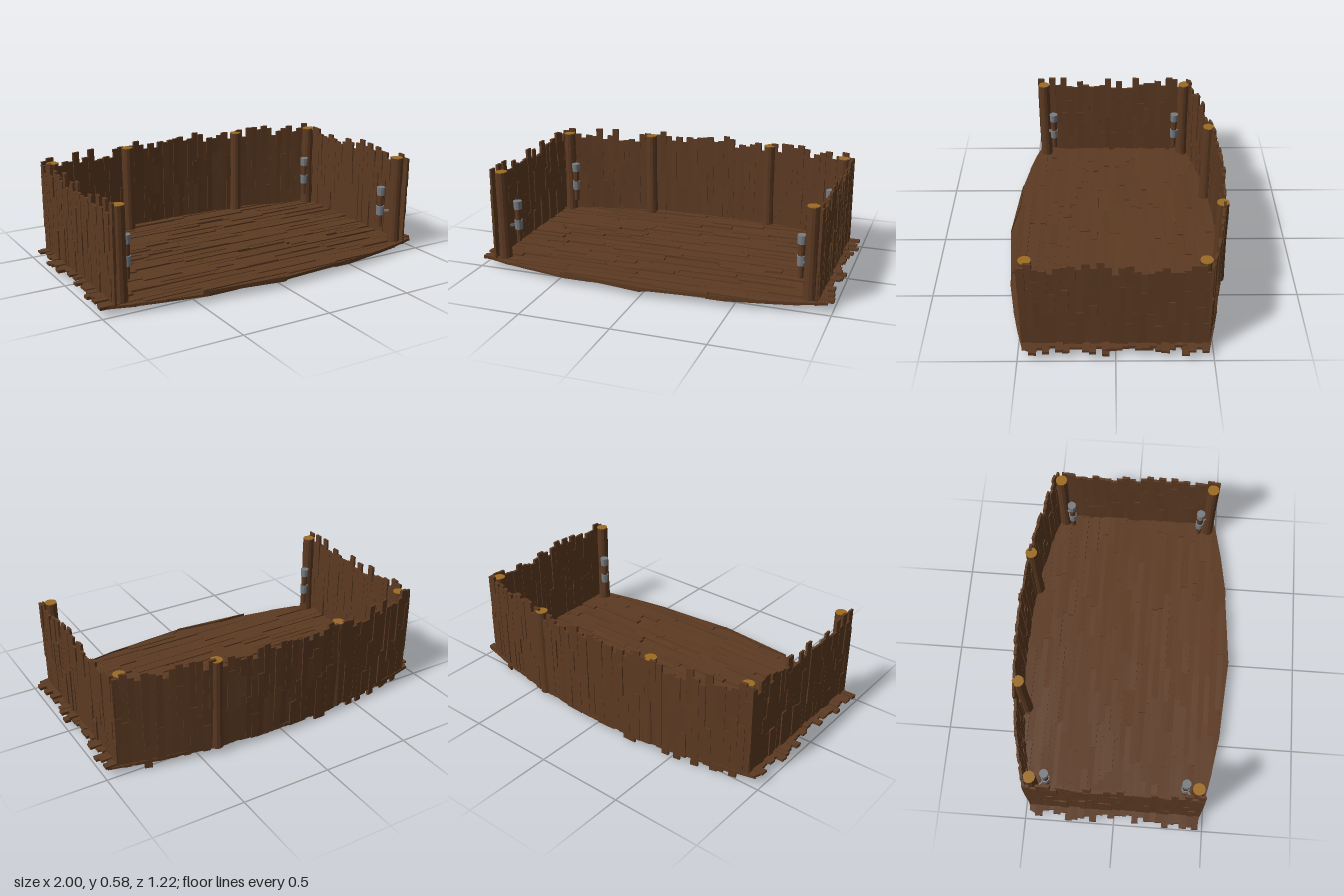
import * as THREE from 'three';
import { mergeGeometries } from 'three/addons/utils/BufferGeometryUtils.js';

const HALF_X = 0.925, SIDE_Z = 0.475, BOW = 0.13;

// Seeded random numbers
let seed = 7;
const rnd = (a = 0, b = 1) => {
  seed = (seed * 16807) % 2147483647;
  return a + (b - a) * (seed / 2147483647);
};

const material = (color) => new THREE.MeshStandardMaterial({ color, flatShading: true });
const wood = material(0x5c3a22);
const endGrain = material(0x9c6c20);
const iron = material(0x787e83);

function addMesh(parent, name, geometry, mat, x = 0, y = 0, z = 0) {
  const mesh = new THREE.Mesh(geometry, mat);
  mesh.name = name;
  mesh.position.set(x, y, z);
  parent.add(mesh);
  return mesh;
}

// Bowed front and back outline, and the half length of the floor at a depth z
const bowZ = (x) => SIDE_Z + BOW * (1 - (x / HALF_X) ** 2);
const floorHalf = (z) => {
  const over = (Math.abs(z) - SIDE_Z) / BOW;
  return over <= 0 ? Infinity : 0.96 * Math.sqrt(Math.max(0, 1 - over));
};

// Floor: rows of overlapping boards, trimmed to the bowed outline
function floorGeometry() {
  const boards = [];
  const rows = 36, step = 1.215 / rows;
  for (let r = 0; r < rows; r++) {
    const z = -0.6075 + (r + 0.5) * step;
    const end = Math.min(rnd(0.94, 1), floorHalf(Math.abs(z) - step / 2));
    let x = -Math.min(rnd(0.94, 1), floorHalf(Math.abs(z) - step / 2));
    while (x < end) {
      const len = Math.min(rnd(0.16, 0.42), end - x + 0.001);
      const g = new THREE.BoxGeometry(len + 0.01, rnd(0.012, 0.018), step + rnd(0.001, 0.008));
      g.rotateX(rnd(-0.08, 0.08));
      g.translate(x + len / 2, rnd(0.042, 0.056), z);
      const p = g.attributes.position;
      for (let i = 0; i < p.count; i++) {
        const limit = Math.min(1, floorHalf(p.getZ(i)));
        p.setX(i, THREE.MathUtils.clamp(p.getX(i), -limit, limit));
        p.setZ(i, THREE.MathUtils.clamp(p.getZ(i), -0.61, 0.61));
      }
      boards.push(g);
      x += len;
    }
  }
  return mergeGeometries(boards);
}

// Wall: upright columns of short boards along a path, with ragged tops
function wallGeometry(pathPoint, columns) {
  const boards = [];
  for (let c = 0; c < columns; c++) {
    const a = pathPoint(c / columns), b = pathPoint((c + 1) / columns);
    const dir = b.clone().sub(a), width = dir.length();
    const mid = a.clone().add(b).multiplyScalar(0.5);
    const angle = -Math.atan2(dir.y, dir.x);
    const top = rnd(0.505, 0.585);
    let y = rnd() < 0.13 ? rnd(0.003, 0.02) : rnd(0.03, 0.045);
    while (y < top) {
      let len = rnd(0.12, 0.3);
      if (top - y - len < 0.07) len = top - y;
      const g = new THREE.BoxGeometry(width + rnd(0.001, 0.007), len, rnd(0.011, 0.016));
      g.rotateY(rnd(-0.07, 0.07));
      g.translate(0, y + len / 2, rnd(-0.004, 0.004));
      g.rotateY(angle);
      g.translate(mid.x, 0, mid.y);
      boards.push(g);
      y += len;
    }
  }
  return mergeGeometries(boards);
}

// Post: round log with a slightly flared foot and a pale cut end
function addPost(parent, x, z) {
  const post = new THREE.Group();
  post.name = 'post';
  post.position.set(x, 0, z);
  const profile = [[0, 0.04], [0.037, 0.04], [0.035, 0.12], [0.032, 0.3], [0.034, 0.45], [0.033, 0.556], [0, 0.556]]
    .map(([r, y]) => new THREE.Vector2(r, y));
  addMesh(post, 'postLog', new THREE.LatheGeometry(profile, 12), wood);
  addMesh(post, 'postCutEnd', new THREE.CylinderGeometry(0.033, 0.033, 0.006, 12), endGrain, 0, 0.557, 0);
  parent.add(post);
}

// Torch: tapered handle, two iron bands and a bracket reaching to the post
function addTorch(parent, x, z, postX, postZ) {
  const torch = new THREE.Group();
  torch.name = 'torch';
  torch.position.set(x, 0, z);
  addMesh(torch, 'torchHandle', new THREE.CylinderGeometry(0.02, 0.014, 0.2, 10), wood, 0, 0.24, 0);
  addMesh(torch, 'torchCup', new THREE.CylinderGeometry(0.025, 0.023, 0.048, 10), iron, 0, 0.354, 0);
  addMesh(torch, 'torchBand', new THREE.CylinderGeometry(0.024, 0.022, 0.055, 10), iron, 0, 0.238, 0);
  const dx = postX - x, dz = postZ - z;
  const bar = addMesh(torch, 'torchBracket',
    new THREE.BoxGeometry(Math.hypot(dx, dz), 0.014, 0.008), iron, dx / 2, 0.238, dz / 2);
  bar.rotation.y = -Math.atan2(dz, dx);
  parent.add(torch);
}

export function createModel() {
  seed = 7;
  const model = new THREE.Group();
  model.name = 'palisadePlatform';

  addMesh(model, 'plankFloor', floorGeometry(), wood);
  addMesh(model, 'backWall', wallGeometry((t) => {
    const x = (t * 2 - 1) * HALF_X;
    return new THREE.Vector2(x, 0.006 - bowZ(x));
  }, 54), wood);
  for (const [name, side] of [['leftWall', 1], ['rightWall', -1]]) {
    addMesh(model, name, wallGeometry((t) =>
      new THREE.Vector2(side * (HALF_X - 0.006), -0.475 + t * 0.955), 27), wood);
  }

  // Corner posts with their torches
  for (const sx of [-1, 1]) for (const sz of [-1, 1]) {
    addPost(model, sx * 0.873, sz * 0.442);
    addTorch(model, sx * 0.812, sz * 0.386, sx * 0.873, sz * 0.442);
  }
  // Posts along the back wall
  addPost(model, -0.36, -0.557);
  addPost(model, 0.4, -0.567);
  return model;
}
